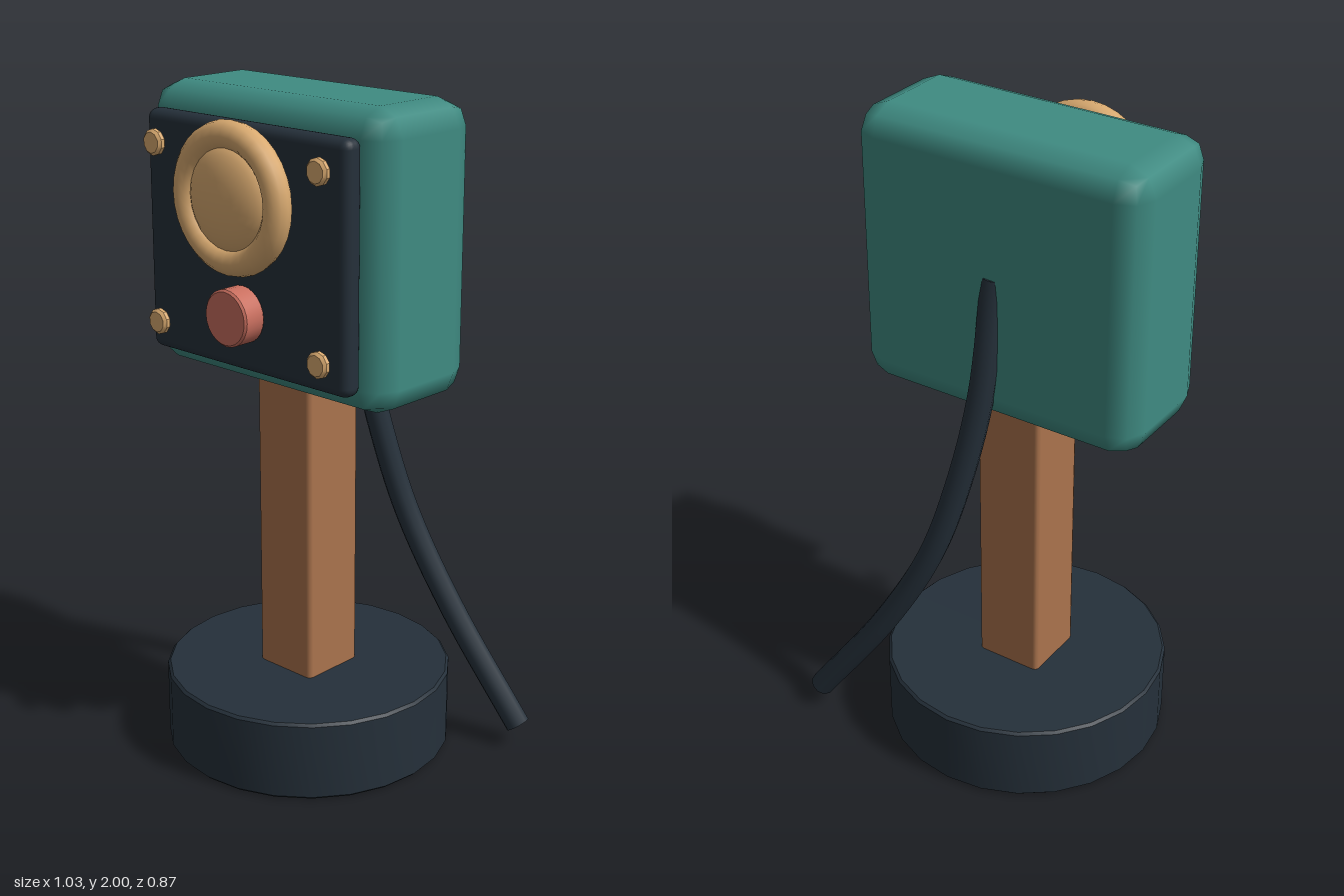
import * as THREE from 'three';
import { toCreasedNormals } from 'three/addons/utils/BufferGeometryUtils.js';
import { RoundedBoxGeometry } from 'three/addons/geometries/RoundedBoxGeometry.js';

const CX = -0.065; // x of the post axis

// Box whose edges are rounded in two facets
function bevelBox(w, h, d, r) {
  const g = new THREE.BoxGeometry(1, 1, 1, 3, 3, 3);
  const p = g.attributes.position, n = g.attributes.normal;
  const dir = new THREE.Vector3(), v = new THREE.Vector3();
  const flat = (c) => (Math.abs(c) > 0.4 ? Math.sign(c) : 0);
  for (let i = 0; i < p.count; i++) {
    v.fromBufferAttribute(p, i);
    dir.set(flat(v.x), flat(v.y), flat(v.z)).normalize();
    p.setXYZ(i,
      Math.sign(v.x) * (w / 2 - r) + dir.x * r,
      Math.sign(v.y) * (h / 2 - r) + dir.y * r,
      Math.sign(v.z) * (d / 2 - r) + dir.z * r);
    n.setXYZ(i, dir.x, dir.y, dir.z);
  }
  return g;
}

// Upright disc with bevelled rims
function bevelDisc(radius, height, bevel, sides) {
  const h = height / 2;
  const pts = [[0, -h], [radius - bevel, -h], [radius, -h + bevel],
    [radius, h - bevel], [radius - bevel, h], [0, h]].map(([x, y]) => new THREE.Vector2(x, y));
  return toCreasedNormals(new THREE.LatheGeometry(pts, sides), 0.6);
}

export function createModel() {
  const group = new THREE.Group();
  const mat = (name, color) => {
    const m = new THREE.MeshStandardMaterial({ color });
    m.name = name;
    return m;
  };
  const teal = mat('teal', 0x3f8b82);
  const dark = mat('charcoal', 0x25303a);
  const wood = mat('wood', 0xaa734d);
  const brass = mat('brass', 0xd9aa70);
  const red = mat('coral', 0xc96f5f);

  const add = (name, geometry, material, x, y, z) => {
    const m = new THREE.Mesh(geometry, material);
    m.name = name;
    m.position.set(x, y, z);
    group.add(m);
    return m;
  };

  // Stand
  add('base', bevelDisc(0.435, 0.245, 0.008, 24), dark, CX, 0.1225, 0);
  add('post', bevelBox(0.21, 1.04, 0.21, 0.014), wood, CX, 0.72, 0);

  // Head and front panel
  add('head', bevelBox(0.905, 0.84, 0.39, 0.08), teal, CX, 1.58, 0);
  add('frontPanel', new RoundedBoxGeometry(0.775, 0.7, 0.066, 3, 0.028), dark, CX, 1.58, 0.225);

  // Round lens with its ring
  add('lensRing', new THREE.TorusGeometry(0.175, 0.04, 12, 32), brass, CX, 1.73, 0.298);
  const lens = add('lens', new THREE.SphereGeometry(0.15, 24, 16), brass, CX, 1.73, 0.298);
  lens.rotation.x = Math.PI / 2;
  lens.scale.y = 0.4;

  // Push button
  add('button', bevelDisc(0.082, 0.075, 0.006, 24), red, CX, 1.4, 0.293).rotation.x = Math.PI / 2;

  // Corner screws
  for (const sx of [-1, 1]) for (const y of [1.325, 1.845]) {
    add('screw', bevelDisc(0.038, 0.028, 0.008, 10), brass, CX + sx * 0.315, y, 0.29).rotation.x = Math.PI / 2;
  }

  // Cable hanging from the back of the head
  const path = new THREE.CatmullRomCurve3([
    [-0.065, 1.6, -0.165], [-0.045, 1.25, -0.205], [0.01, 0.95, -0.245],
    [0.09, 0.69, -0.28], [0.245, 0.4, -0.318], [0.478, 0.068, -0.362],
  ].map((p) => new THREE.Vector3(...p)));
  add('cable', new THREE.TubeGeometry(path, 32, 0.038, 10), dark, 0, 0, 0);
  for (const t of [0, 1]) {
    const end = path.getPointAt(t);
    const out = path.getTangentAt(t).multiplyScalar(t ? 1 : -1);
    const cap = add('cableEnd', new THREE.CircleGeometry(0.038, 10), dark, end.x, end.y, end.z);
    cap.lookAt(end.clone().add(out));
  }

  return group;
}
